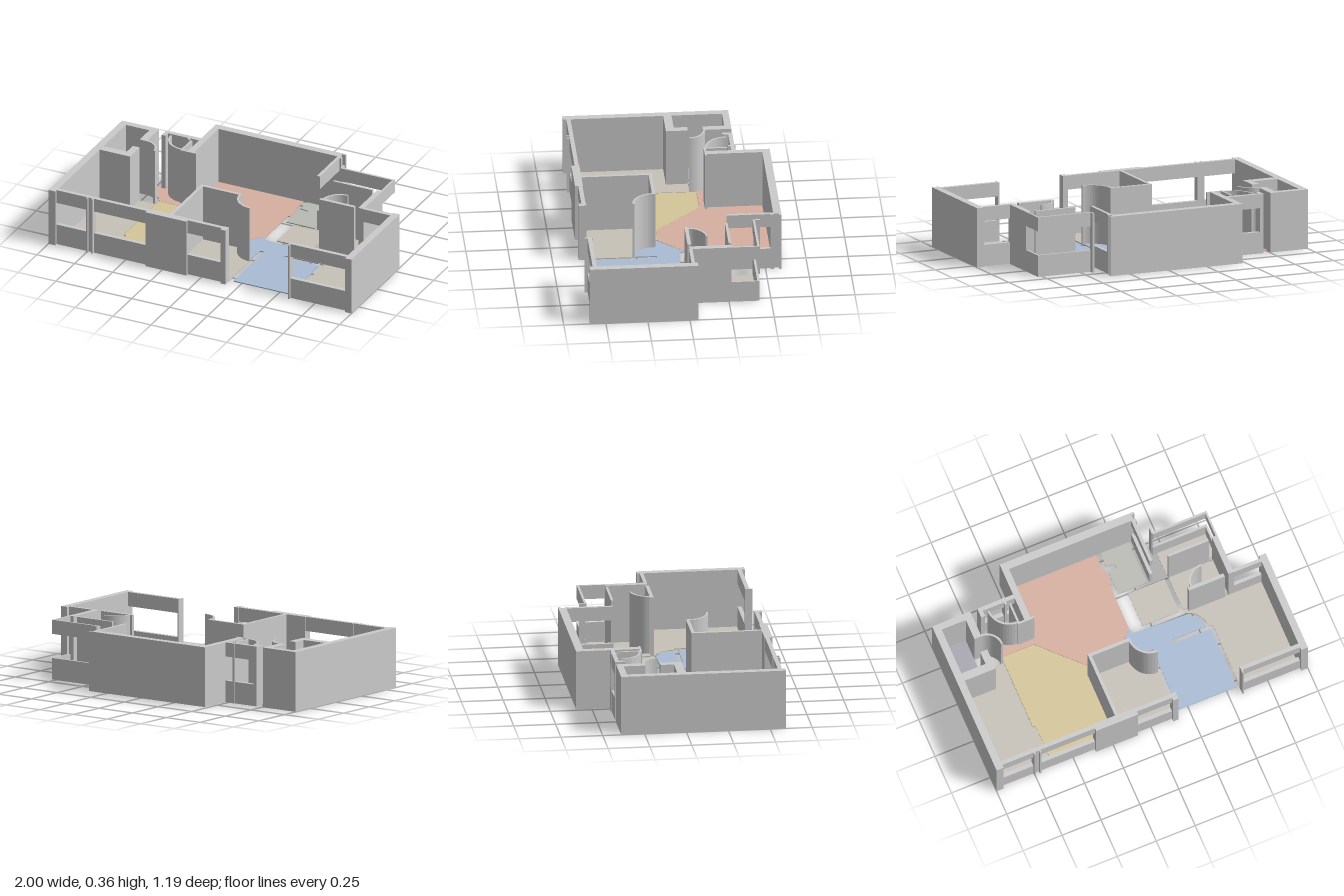
import * as THREE from 'three';

const H = 0.36, SILL = 0.13, LINTEL = 0.275, FLOOR = 0.006;
const grey = new THREE.MeshStandardMaterial({ color: 0xcccccc });

// Points of a circular arc in plan (x, z), angles in quarter turns
function arc(cx, cz, r, q0, q1, n = 12) {
  return Array.from({ length: n + 1 }, (_, i) => {
    const a = (q0 + ((q1 - q0) * i) / n) * Math.PI / 2;
    return [cx + r * Math.cos(a), cz + r * Math.sin(a)];
  });
}

// Plan outline raised to a given height
function slab(points, height) {
  const shape = new THREE.Shape(points.map(([x, z]) => new THREE.Vector2(x, -z)));
  return new THREE.ExtrudeGeometry(shape, { depth: height, bevelEnabled: false }).rotateX(-Math.PI / 2);
}

export function createModel() {
  const model = new THREE.Group();
  const walls = new THREE.Group();
  const floors = new THREE.Group();
  walls.name = 'walls';
  floors.name = 'floors';
  model.add(walls, floors);

  const add = (group, name, geometry, material) => {
    const mesh = new THREE.Mesh(geometry, material);
    mesh.name = name;
    group.add(mesh);
  };
  const wall = (name, x0, x1, z0, z1, y0 = 0, y1 = H) => {
    const g = new THREE.BoxGeometry(x1 - x0, y1 - y0, z1 - z0);
    g.translate((x0 + x1) / 2, (y0 + y1) / 2, (z0 + z1) / 2);
    add(walls, name, g, grey);
  };
  const windowWall = (name, x0, x1, z0, z1) => {
    wall(name + 'Sill', x0, x1, z0, z1, 0, SILL);
    wall(name + 'Lintel', x0, x1, z0, z1, LINTEL, H);
  };
  const curvedWall = (name, cx, cz, r, q0, q1) => {
    const outline = [...arc(cx, cz, r + 0.006, q0, q1), ...arc(cx, cz, r - 0.006, q1, q0)];
    add(walls, name, slab(outline, H), grey);
  };
  const floor = (name, color, points) =>
    add(floors, name, slab(points, FLOOR), new THREE.MeshStandardMaterial({ color }));
  const rect = (x0, x1, z0, z1) => [[x0, z0], [x1, z0], [x1, z1], [x0, z1]];

  // Outer side and back walls
  wall('westWall', -1, -0.955, -0.39, 0.594);
  wall('eastWall', 0.957, 1, -0.05, 0.594);
  wall('northWall', -0.48, 0.36, -0.594, -0.547);
  wall('hallWestWall', -0.48, -0.44, -0.547, -0.21);
  wall('northWestWall', -0.955, -0.755, -0.39, -0.35);

  // Front wall with its windows and posts
  windowWall('frontLeftWindow', -0.955, -0.36, 0.55, 0.575);
  wall('frontMullion', -0.755, -0.745, 0.548, 0.59);
  wall('frontMullion', -0.72, -0.71, 0.548, 0.59);
  wall('frontMullionPanel', -0.745, -0.72, 0.55, 0.575);
  wall('frontSolidWall', -0.36, -0.09, 0.547, 0.594);
  windowWall('frontMiddleWindow', -0.09, 0.135, 0.55, 0.575);
  wall('frontPost', 0.135, 0.168, 0.547, 0.594);
  windowWall('frontRightWindow', 0.585, 0.957, 0.55, 0.575);
  wall('frontRightPost', 0.58, 0.59, 0.547, 0.594);

  // Storage room at the back left
  wall('storageEastWall', -0.8, -0.755, -0.35, -0.22);
  wall('storageEastWall', -0.8, -0.755, -0.13, 0);
  wall('storageSouthWall', -0.955, -0.8, -0.05, 0);
  curvedWall('storageDoorSwing', -0.755, -0.13, 0.095, -1, 0);

  // Small washroom next to it
  windowWall('washroomWindow', -0.7, -0.48, -0.39, -0.365);
  wall('washroomWestPost', -0.71, -0.685, -0.39, -0.33);
  wall('washroomEastPost', -0.55, -0.535, -0.395, -0.35);
  wall('washroomEastWall', -0.525, -0.512, -0.345, -0.21);
  wall('washroomSouthWall', -0.525, -0.42, -0.217, -0.205);
  curvedWall('washroomDoorSwing', -0.525, -0.35, 0.13, 2, 1);

  // Middle bedroom
  wall('bedroomWestWall', -0.22, -0.2, 0.13, 0.547);
  wall('bedroomNorthWall', -0.22, 0.05, 0.128, 0.148);
  curvedWall('bedroomDoorSwing', 0.17, 0.142, 0.127, 2, 1);

  // Rooms at the back right
  windowWall('utilityWindow', 0.345, 0.365, -0.547, -0.27);
  wall('utilityNorthPost', 0.36, 0.38, -0.594, -0.58);
  wall('utilityMiddlePost', 0.36, 0.375, -0.55, -0.53);
  wall('terracePost', 0.425, 0.437, -0.462, -0.425);
  windowWall('terraceNorthWindow', 0.43, 0.78, -0.432, -0.418);
  windowWall('terraceEastWindow', 0.768, 0.78, -0.418, -0.265);
  wall('bathNorthWall', 0.46, 0.72, -0.267, -0.252);
  wall('bathEastWall', 0.745, 0.78, -0.265, -0.015);
  wall('bathSouthWall', 0.49, 0.72, -0.03, -0.008);
  curvedWall('bathDoorSwing', 0.62, -0.02, 0.11, 2, 3);
  windowWall('eastBedroomWindow', 0.78, 0.957, -0.033, -0.012);

  // Floors
  const beige = 0xc8c2b8;
  floor('storageFloor', 0xa8a6b2, rect(-0.955, -0.8, -0.35, -0.05));
  floor('westBedroomFloor', beige, [
    [-0.955, 0], [-0.755, 0], [-0.755, -0.13], [-0.65, -0.13], [-0.65, 0.3],
    [-0.63, 0.32], [-0.63, 0.547], [-0.955, 0.547]]);
  floor('diningFloor', 0xd5c699, [
    [-0.645, -0.17], [-0.44, -0.17], [-0.17, 0.105], [-0.04, 0.112], [-0.04, 0.13],
    [-0.22, 0.13], [-0.22, 0.547], [-0.628, 0.547], [-0.628, 0.31], [-0.645, 0.3]]);
  floor('livingRoomFloor', 0xd6b0a0, [
    [-0.44, -0.547], [0.12, -0.547], [0.12, -0.44], [0.135, -0.44], [0.135, -0.34],
    [0.12, -0.34], [0.12, -0.045], [-0.035, 0.11], [-0.17, 0.103], [-0.44, -0.172],
    [-0.645, -0.172], [-0.67, -0.21], [-0.755, -0.235], [-0.755, -0.34], [-0.66, -0.34],
    ...arc(-0.525, -0.35, 0.135, 2, 1, 8), [-0.44, -0.215]]);
  floor('washroomFloor', 0xbfbcb2, [[-0.53, -0.35], ...arc(-0.53, -0.35, 0.12, 1, 2)]);
  floor('hallFloor', 0xa9bcd5, [
    [-0.035, 0.115], [0.12, -0.042], [0.13, -0.01], [0.19, -0.005],
    ...arc(0.43, 0.12, 0.115, -1, 0), [0.33, 0.12], [0.32, 0.145], [0.565, 0.145],
    [0.565, 0.54], [0.195, 0.54], [0.195, 0.13], [0.165, 0.13],
    ...arc(0.165, 0.142, 0.125, 1, 2), [-0.035, 0.13]]);
  floor('middleBedroomFloor', beige, [
    [-0.2, 0.148], ...arc(0.17, 0.148, 0.13, 2, 1), [0.168, 0.547], [-0.2, 0.547]]);
  floor('eastBedroomFloor', beige, [
    ...arc(0.43, 0.12, 0.13, -0.85, 0), [0.585, 0.125], [0.585, 0.547],
    [0.957, 0.547], [0.957, -0.012], [0.47, -0.012]]);
  floor('closetFloor', beige, rect(0.2, 0.435, -0.25, -0.03));
  floor('bathFloor', beige, rect(0.46, 0.745, -0.25, -0.03));
  floor('terraceFloor', beige, rect(0.455, 0.768, -0.418, -0.27));
  floor('utilityFloor', 0xb9bcb4, [
    [0.145, -0.547], [0.33, -0.547], [0.33, -0.27], [0.145, -0.27],
    [0.145, -0.42], [0.2, -0.42], [0.2, -0.45], [0.145, -0.46]]);
  return model;
}
